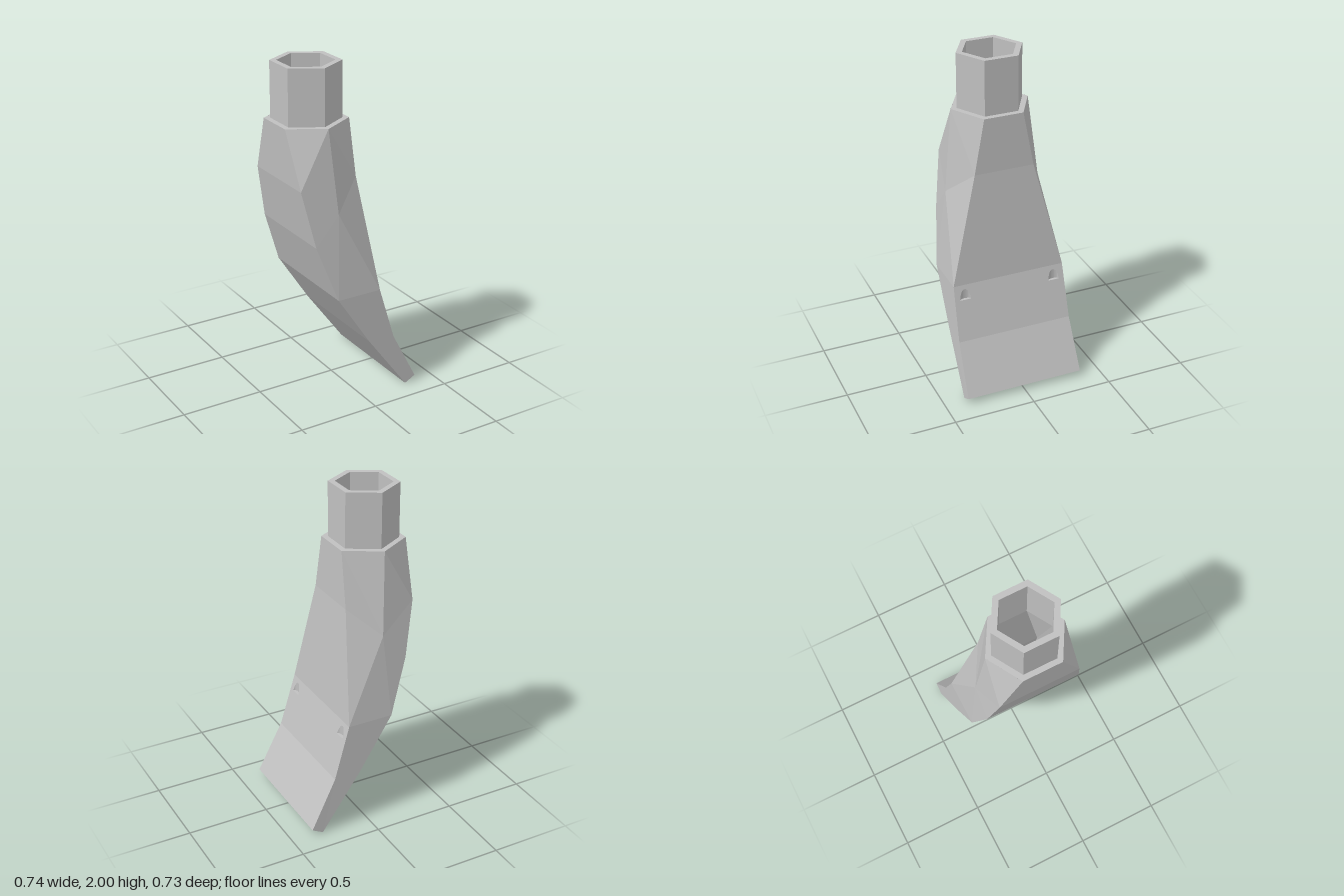
import * as THREE from 'three';

// Flat-faced mesh from convex polygons given counter-clockwise
function facesToGeometry(faces) {
  const pos = [];
  for (const f of faces)
    for (let i = 1; i < f.length - 1; i++) pos.push(...f[0], ...f[i], ...f[i + 1]);
  const g = new THREE.BufferGeometry();
  g.setAttribute('position', new THREE.Float32BufferAttribute(pos, 3));
  g.computeVertexNormals();
  return g;
}

const flip = ([x, y, z]) => [x, y, -z];

// Six-sided section, optionally tilted between its left and right edges
function hex(xl, yl, xr, yr, zMid, zEnd) {
  const xm = (xl + xr) / 2, ym = (yl + yr) / 2;
  const half = [[xr, yr, zEnd], [xm, ym, zMid], [xl, yl, zEnd]];
  return [...half, ...half.map(flip).reverse()];
}

// Outward band between an upper ring and a lower ring
const band = (a, b) => a.map((p, i) => {
  const j = (i + 1) % a.length;
  return [p, a[j], b[j], b[i]];
});

export function createModel() {
  const group = new THREE.Group();
  const grey = new THREE.MeshStandardMaterial({ color: 0xc0c0c0 });
  grey.name = 'grey plastic';
  const add = (name, geometry) => {
    const m = new THREE.Mesh(geometry, grey);
    m.name = name;
    group.add(m);
  };

  // Corner lines of the curved body, top to bottom, on the +z half
  const L = [[-0.37, 1.667, 0.12], [-0.347, 1.333, 0.25], [-0.28, 1, 0.3],
    [-0.163, 0.667, 0.35], [0.045, 0.35, 0.358], [0.302, 0, 0.367]];
  const R = [[0.045, 1.667, 0.12], [0.052, 1.333, 0.183], [0.118, 0.667, 0.35],
    [0.215, 0.34, 0.358], [0.37, 0.036, 0.367]];
  const M = [[-0.163, 1.667, 0.24], [-0.13, 1.17, 0.295]];

  // Faceted flanks, mirrored
  const side = [
    [L[0], L[1], M[0]], [L[1], M[1], M[0]], [L[1], L[2], M[1]],
    [L[2], L[3], M[1]], [L[3], R[2], M[1]],
    [M[0], M[1], R[1], R[0]], [M[1], R[2], R[1]],
    [L[3], L[4], R[3], R[2]], [L[4], L[5], R[4], R[3]],
  ];
  const body = [...side, ...side.map(f => f.map(flip).reverse())];

  // Broad faces and the end of the tip; the pocketed panel is added separately
  const right = [...R, L[5]];
  for (let i = 0; i < right.length - 1; i++)
    if (i !== 2) body.push([right[i], right[i + 1], flip(right[i + 1]), flip(right[i])]);
  for (let i = 0; i < L.length - 1; i++)
    body.push([flip(L[i]), flip(L[i + 1]), L[i + 1], L[i]]);
  add('nozzleBody', facesToGeometry(body));

  // Sloping panel with two half-oval pocket openings
  const slopeX = y => R[2][0] + (R[3][0] - R[2][0]) * (R[2][1] - y) / (R[2][1] - R[3][1]);
  const panel = new THREE.Shape([
    [-R[2][2], R[2][1]], [-R[3][2], R[3][1]], [R[3][2], R[3][1]], [R[2][2], R[2][1]],
  ].map(p => new THREE.Vector2(...p)));
  const floorY = 0.58, pockets = [];
  for (const zc of [-0.285, 0.285]) {
    const arc = [];
    for (let k = 0; k <= 10; k++) {
      const t = Math.PI * k / 10;
      arc.push(new THREE.Vector2(zc + 0.033 * Math.cos(t), floorY + 0.062 * Math.sin(t)));
    }
    panel.holes.push(new THREE.Path(arc));
    const rim = arc.map(p => [slopeX(p.y), p.y, -p.x]);
    const base = rim.map(p => [p[0], floorY, p[2]]);
    for (let k = 0; k < 10; k++)
      pockets.push([rim[k], rim[k + 1], base[k + 1], base[k]]);
    pockets.push(base);
  }
  const panelGeo = new THREE.ShapeGeometry(panel);
  const p = panelGeo.attributes.position;
  for (let i = 0; i < p.count; i++)
    p.setXYZ(i, slopeX(p.getY(i)), p.getY(i), -p.getX(i));
  panelGeo.computeVertexNormals();
  add('pocketPanel', panelGeo);
  const pocketMesh = new THREE.Mesh(facesToGeometry(pockets), grey.clone());
  pocketMesh.material = grey;
  pocketMesh.name = 'latchPockets';
  grey.side = THREE.DoubleSide;
  group.add(pocketMesh);

  // Hexagonal connector, its rim and the ledge around its foot
  const outer = y => hex(-0.338, y, 0.012, y, 0.203, 0.102);
  const inner = y => hex(-0.305, y, -0.022, y, 0.165, 0.083);
  add('connectorTube', facesToGeometry([
    ...band(outer(2), outer(1.667)),
    ...band(inner(2), outer(2)),
    ...band(outer(1.667), hex(-0.37, 1.667, 0.045, 1.667, 0.24, 0.12)),
  ]));

  // Inner duct bending down towards the tip
  const duct = [inner(2), inner(1.667),
    hex(-0.13, 0.75, 0.05, 0.95, 0.25, 0.2), hex(-0.11, 0.745, 0.06, 0.9, 0.25, 0.2),
    hex(-0.06, 0.69, 0.07, 0.8, 0.25, 0.2), hex(0.05, 0.5, 0.09, 0.7, 0.25, 0.2)];
  const ductFaces = [[...duct[duct.length - 1]].reverse()];
  for (let i = 0; i < duct.length - 1; i++) ductFaces.push(...band(duct[i + 1], duct[i]));
  add('innerDuct', facesToGeometry(ductFaces));

  return group;
}
